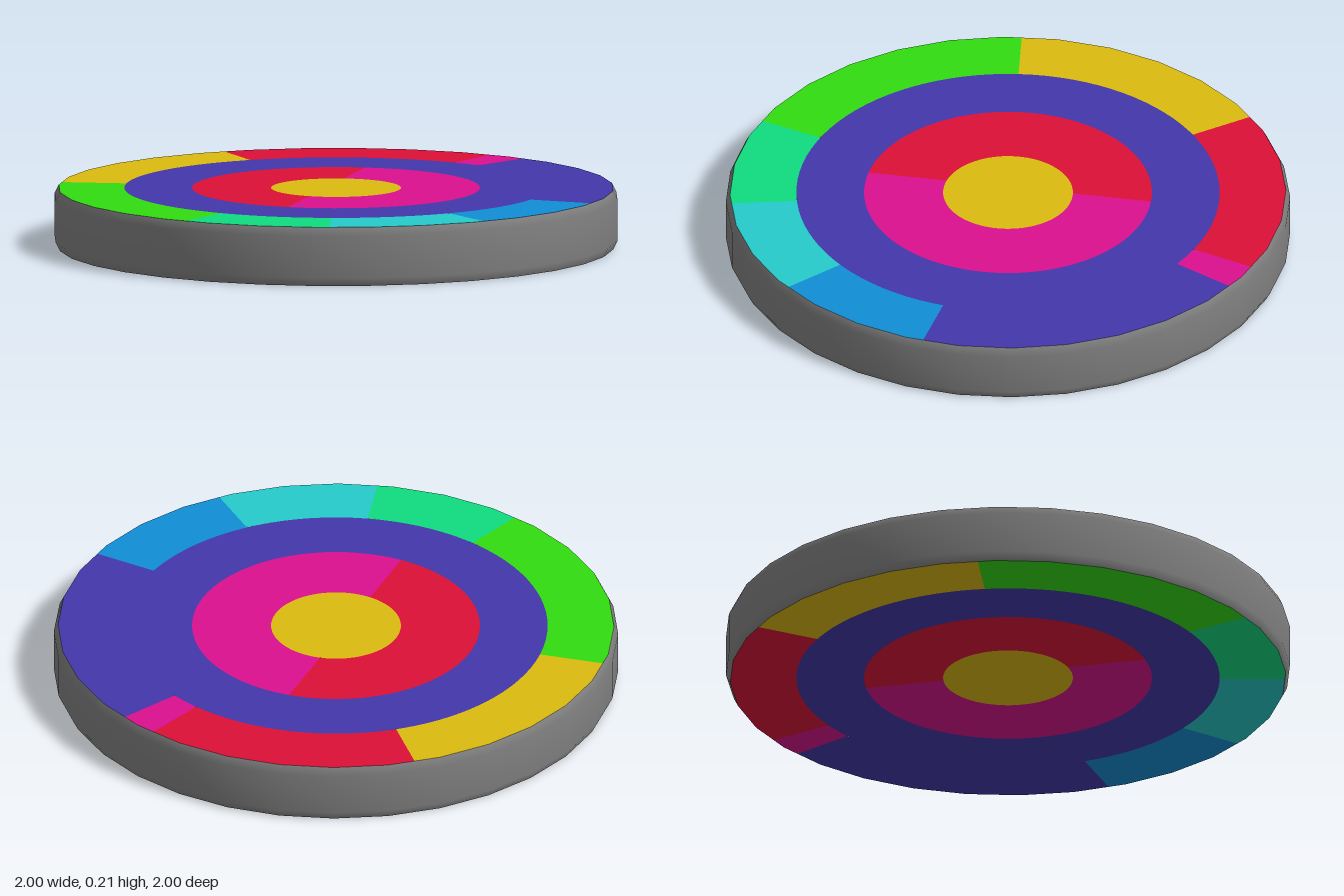
import * as THREE from 'three';

const SIDES = 32, R = 0.985, H = 0.21;
const STEP = 3.75; // arc sampling in degrees, divides the side angle evenly
const rad = THREE.MathUtils.degToRad;

const mat = (name, color) => new THREE.MeshStandardMaterial({ name, color });

// Radius of the 32-sided outline at an angle in degrees
function outlineRadius(deg) {
  const side = 360 / SIDES;
  const local = (((deg % side) + side) % side) - side / 2;
  return R * Math.cos(rad(side / 2)) / Math.cos(rad(local));
}

// Points along an arc; r is a number or a function of the angle
function arc(r, a0, a1) {
  const angles = [a0];
  for (let a = Math.ceil((a0 + 0.01) / STEP) * STEP; a < a1 - 0.01; a += STEP) angles.push(a);
  angles.push(a1);
  return angles.map((a) => {
    const k = typeof r === 'function' ? r(a) : r;
    return new THREE.Vector2(k * Math.cos(rad(a)), k * Math.sin(rad(a)));
  });
}

export function createModel() {
  const model = new THREE.Group();
  const grey = mat('grey', 0x808080);
  const red = mat('red', 0xdc1037);
  const magenta = mat('magenta', 0xdc108f);
  const indigo = mat('indigo', 0x4237ab);
  const yellow = mat('yellow', 0xdcbb10);
  const green = mat('green', 0x31dc10);
  const mint = mat('mint', 0x10dc7f);
  const teal = mat('teal', 0x26cbcb);
  const blue = mat('blue', 0x108fd6);

  // Flat patch on both the top and the bottom face; angles run from +x towards +z
  function patch(name, material, points) {
    for (const top of [true, false]) {
      const pts = points.map((p) => new THREE.Vector2(p.x, top ? -p.y : p.y));
      const geo = new THREE.ShapeGeometry(new THREE.Shape(pts));
      geo.rotateX(top ? -Math.PI / 2 : Math.PI / 2);
      const mesh = new THREE.Mesh(geo, material);
      mesh.name = name + (top ? 'Top' : 'Bottom');
      mesh.position.y = top ? H : 0;
      model.add(mesh);
    }
  }
  const band = (inner, outer) => [...outer, ...inner.reverse()];

  // Rim wall with softly narrowed edges
  const profile = [[R, 0], [1, 0.03], [1, 0.18], [R, H]].map(([x, y]) => new THREE.Vector2(x, y));
  const rim = new THREE.Mesh(new THREE.LatheGeometry(profile, SIDES), grey);
  rim.name = 'rim';
  model.add(rim);

  // Centre disc
  patch('centreDisc', yellow, arc(0.23, 0, 360).slice(0, -1));

  // Inner ring split by a straight line just left of centre
  const cut = (r) => THREE.MathUtils.radToDeg(Math.acos(-0.035 / r));
  const [c0, c1] = [cut(0.23), cut(0.51)];
  patch('innerRingRed', red, band(arc(0.23, c0, 360 - c0), arc(0.51, c1, 360 - c1)));
  patch('innerRingMagenta', magenta, band(arc(0.23, -c0, c0), arc(0.51, -c1, c1)));

  // Middle ring in two halves
  for (const a of [0, 180]) {
    patch('middleRing', indigo, band(arc(0.51, a, a + 180), arc(0.75, a, a + 180)));
  }

  // Outer ring of coloured sectors: start angle, end angle
  const sectors = [
    ['sectorBlue', blue, 7.5, 42.1],
    ['sectorTeal', teal, 42.1, 75.6],
    ['sectorMint', mint, 75.6, 107.2],
    ['sectorGreen', green, 107.2, 172.5],
    ['sectorYellow', yellow, 172.5, 230.5],
    ['sectorRed', red, 230.5, 288.3],
    ['sectorMagenta', magenta, 288.3, 296.7],
    ['sectorIndigo', indigo, 296.7, 367.5],
  ];
  for (const [name, material, a0, a1] of sectors) {
    patch(name, material, band(arc(0.75, a0, a1), arc(outlineRadius, a0, a1)));
  }
  return model;
}
